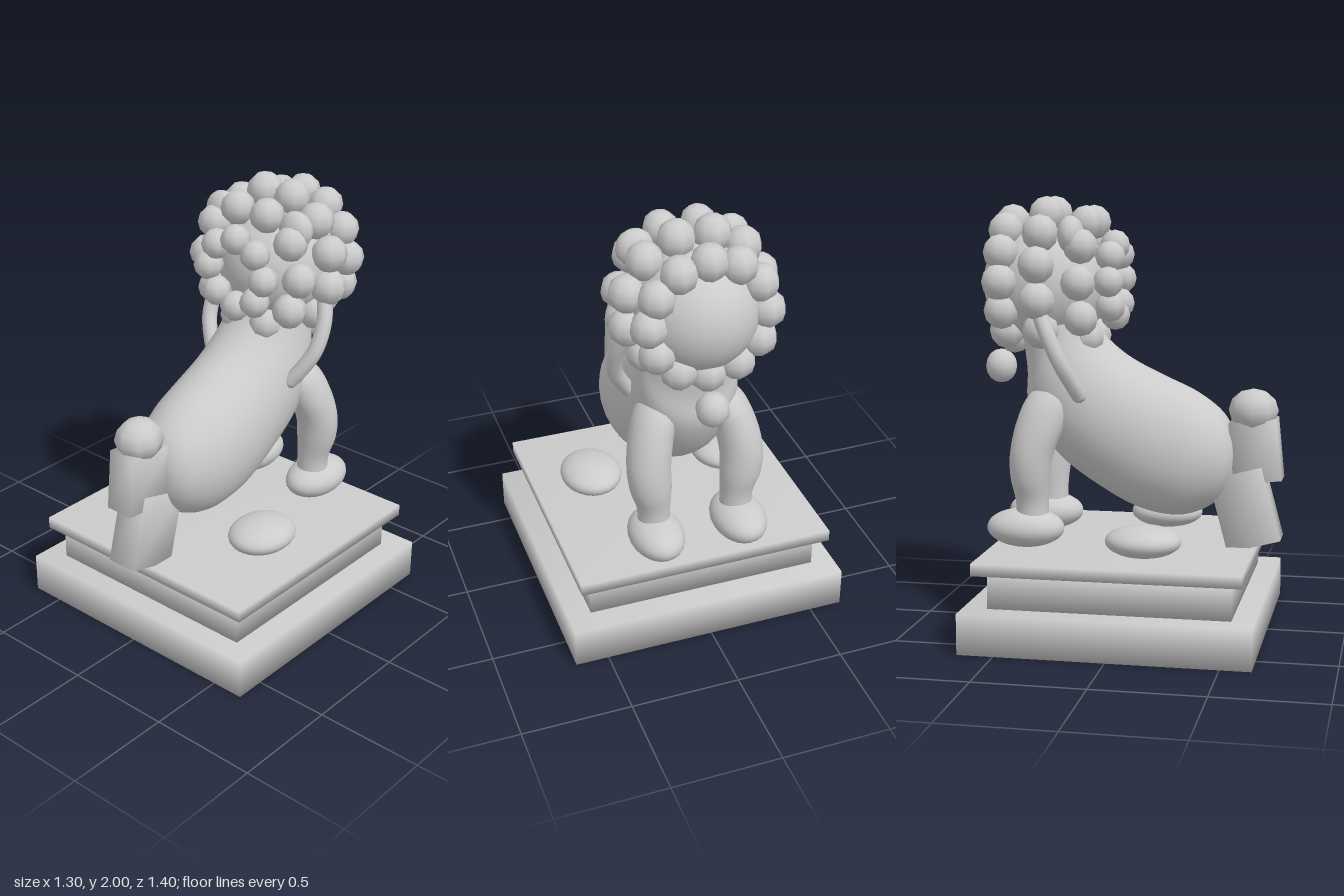
import * as THREE from 'three';
import { mergeVertices } from 'three/addons/utils/BufferGeometryUtils.js';

const V = (x, y, z) => new THREE.Vector3(x, y, z);

export function createModel() {
  const group = new THREE.Group();
  const material = new THREE.MeshStandardMaterial({ color: 0xcccccc });

  function add(name, geometry, x = 0, y = 0, z = 0) {
    const mesh = new THREE.Mesh(geometry, material);
    mesh.name = name;
    mesh.position.set(x, y, z);
    group.add(mesh);
    return mesh;
  }

  // Box with soft shading carried across its edges
  function softBox(w, h, d) {
    const box = new THREE.BoxGeometry(w, h, d);
    box.deleteAttribute('normal');
    box.deleteAttribute('uv');
    const geometry = mergeVertices(box);
    geometry.computeVertexNormals();
    return geometry;
  }

  function ellipsoid(name, [x, y, z], [rx, ry, rz], segments = 24) {
    const geometry = new THREE.SphereGeometry(1, segments, Math.max(6, segments * 0.7 | 0));
    const mesh = add(name, geometry, x, y, z);
    mesh.scale.set(rx, ry, rz);
    return mesh;
  }

  // Smooth skin through elliptical sections; c = centre, a and b = half axes
  function loft(sections, steps = 40, sides = 32) {
    const curve = key => new THREE.CatmullRomCurve3(sections.map(s => s[key]), false, 'catmullrom');
    const [cc, ca, cb] = ['c', 'a', 'b'].map(curve);
    const positions = [], index = [];
    for (let i = 0; i <= steps; i++) {
      const c = cc.getPoint(i / steps), a = ca.getPoint(i / steps), b = cb.getPoint(i / steps);
      for (let j = 0; j < sides; j++) {
        const t = j / sides * Math.PI * 2;
        const p = c.clone().addScaledVector(a, Math.cos(t)).addScaledVector(b, Math.sin(t));
        positions.push(p.x, p.y, p.z);
        if (i < steps) {
          const k = i * sides + j, n = i * sides + (j + 1) % sides;
          index.push(k, n, k + sides, n, n + sides, k + sides);
        }
      }
    }
    const geometry = new THREE.BufferGeometry();
    geometry.setAttribute('position', new THREE.Float32BufferAttribute(positions, 3));
    geometry.setIndex(index);
    geometry.computeVertexNormals();
    return geometry;
  }

  // Stepped plinth
  add('plinthBottom', softBox(1.305, 0.185, 1.305), 0, 0.0925, -0.0125);
  add('plinthMiddle', softBox(1.09, 0.16, 1.09), 0, 0.265, -0.0075);
  add('plinthTop', softBox(1.2, 0.055, 1.2), 0, 0.3725, -0.0125);

  // Body from rump to neck: top z, top y, bottom z, bottom y, half width
  const bodySections = [
    [0.488, 0.81, 0.488, 0.8, 0.004],
    [0.475, 0.92, 0.462, 0.69, 0.11],
    [0.42, 1.02, 0.39, 0.595, 0.18],
    [0.30, 1.11, 0.25, 0.535, 0.23],
    [0.15, 1.18, 0.08, 0.55, 0.25],
    [0.0, 1.255, -0.1, 0.63, 0.25],
    [-0.1, 1.33, -0.34, 0.80, 0.245],
    [-0.16, 1.40, -0.48, 1.02, 0.23],
    [-0.19, 1.48, -0.49, 1.2, 0.21],
    [-0.2, 1.56, -0.52, 1.42, 0.19],
  ].map(([tz, ty, bz, by, w]) => ({
    c: V(0, (ty + by) / 2, (tz + bz) / 2),
    a: V(-w, 0, 0),
    b: V(0, (ty - by) / 2, (tz - bz) / 2),
  }));
  add('body', loft(bodySections, 54));

  // Front leg from ankle to shoulder: x, y, z, radius x, radius z
  const legSections = [
    [0.2, 0.45, -0.43, 0.08, 0.08],
    [0.2, 0.6, -0.43, 0.075, 0.075],
    [0.215, 0.72, -0.435, 0.095, 0.09],
    [0.22, 0.84, -0.425, 0.1, 0.1],
    [0.195, 0.98, -0.385, 0.1, 0.115],
    [0.15, 1.1, -0.345, 0.09, 0.105],
    [0.11, 1.2, -0.32, 0.01, 0.01],
  ];

  for (const [side, s] of [['left', 1], ['right', -1]]) {
    const sections = legSections.map(([x, y, z, rx, rz]) => ({
      c: V(s * x, y, z), a: V(0, 0, rz), b: V(rx, 0, 0),
    }));
    add(side + 'FrontLeg', loft(sections, 36, 24));
    ellipsoid(side + 'FrontPaw', [s * 0.2, 0.485, -0.463], [0.125, 0.09, 0.182]);
    ellipsoid(side + 'RearPaw', [s * 0.332, 0.473, 0.112], [0.145, 0.073, 0.173]);
    ellipsoid(side + 'Ear', [s * 0.215, 1.83, -0.24], [0.085, 0.085, 0.06], 12);

    // Hanging ribbon beside the neck
    const ribbon = new THREE.CatmullRomCurve3([
      V(s * 0.29, 1.49, -0.37), V(s * 0.325, 1.38, -0.32),
      V(s * 0.32, 1.26, -0.265), V(s * 0.27, 1.16, -0.22), V(s * 0.235, 1.11, -0.2),
    ]);
    add(side + 'Ribbon', new THREE.TubeGeometry(ribbon, 20, 0.036, 10));
    for (const t of [0, 1]) {
      const p = ribbon.getPoint(t);
      ellipsoid(side + 'RibbonEnd', [p.x, p.y, p.z], [0.036, 0.036, 0.036], 10);
    }
  }

  // Head and the bell on the chest
  ellipsoid('head', [0, 1.6, -0.4], [0.28, 0.28, 0.298], 32);
  ellipsoid('bell', [0, 1.21, -0.625], [0.075, 0.08, 0.075], 12);

  // Mane curls in rings: count, ring radius, z, curl radius, half-step offset
  const rings = [
    [8, 0.16, -0.08, 0.07, 0],
    [10, 0.275, -0.195, 0.08, 0.5],
    [12, 0.308, -0.38, 0.085, 0.5],
    [12, 0.262, -0.56, 0.083, 0],
  ];
  for (const [count, radius, z, r, offset] of rings) {
    for (let i = 0; i < count; i++) {
      const t = (i + offset) / count * Math.PI * 2;
      ellipsoid('maneCurl', [radius * Math.sin(t), 1.617 + radius * Math.cos(t), z], [r, r, r], 8);
    }
  }

  // Tail of two tilted blocks with a ball tip
  add('tailLower', softBox(0.15, 0.35, 0.25), 0, 0.575, 0.535).rotation.x = -0.26;
  add('tailUpper', softBox(0.14, 0.28, 0.22), 0, 0.845, 0.58).rotation.x = -0.1;
  ellipsoid('tailTip', [0, 1.03, 0.565], [0.107, 0.1, 0.115], 8);

  return group;
}
